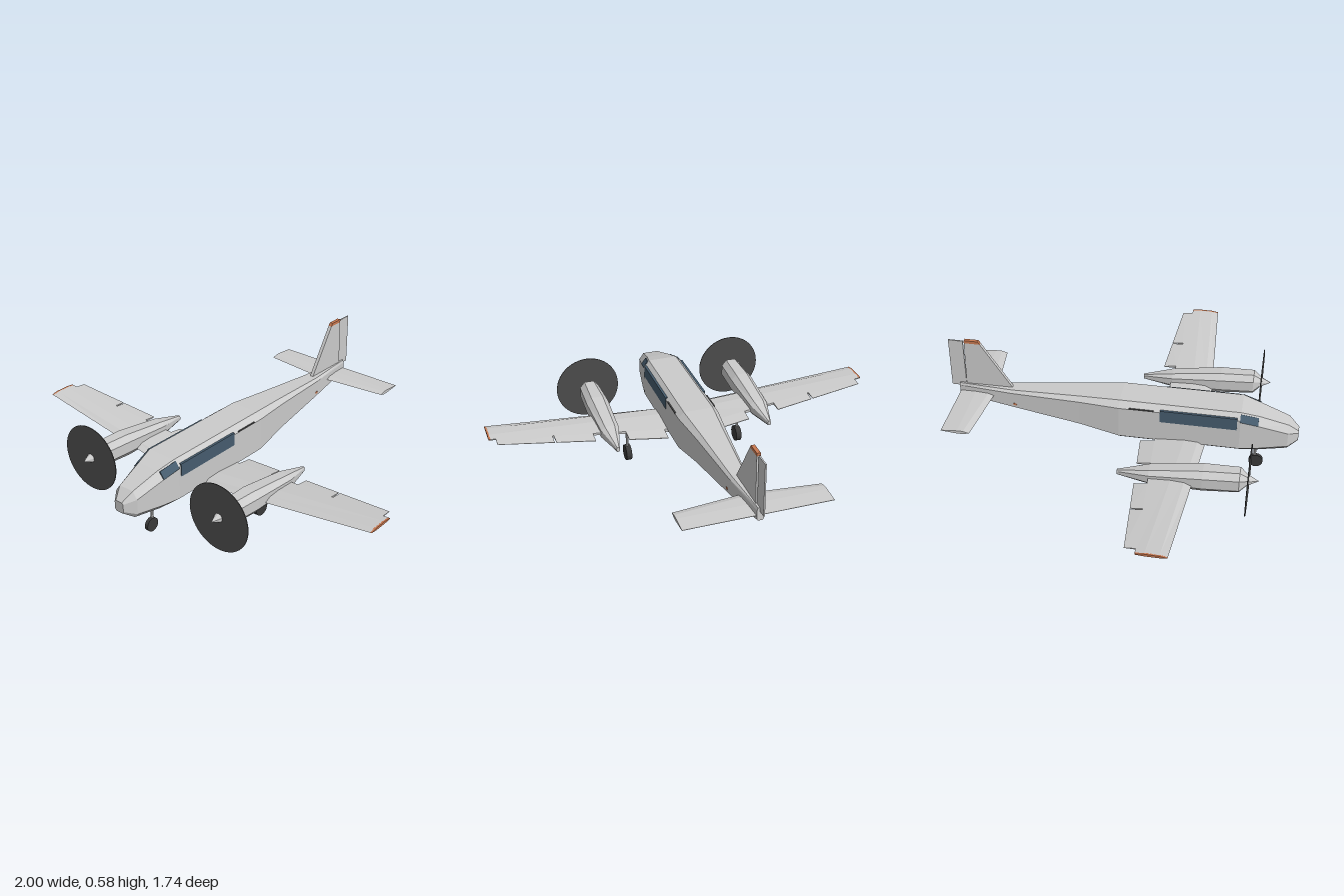
import * as THREE from 'three';

const mat = (color) => new THREE.MeshStandardMaterial({ color, flatShading: true, side: THREE.DoubleSide });
const lerp = THREE.MathUtils.lerp;

// Skin a row of equal-length rings, with flat end caps. flip = mirror image in x.
function loft(rings, flip = false) {
  const pos = [];
  const tri = (a, b, c) => {
    for (const p of flip ? [a, c, b] : [a, b, c]) pos.push(flip ? -p[0] : p[0], p[1], p[2]);
  };
  const n = rings[0].length;
  for (let i = 0; i < rings.length - 1; i++) {
    for (let j = 0; j < n; j++) {
      const k = (j + 1) % n, a = rings[i][j], b = rings[i][k], c = rings[i + 1][k], d = rings[i + 1][j];
      tri(a, d, c);
      tri(a, c, b);
    }
  }
  const first = rings[0], last = rings[rings.length - 1];
  for (let j = 1; j < n - 1; j++) {
    tri(first[0], first[j], first[j + 1]);
    tri(last[0], last[j + 1], last[j]);
  }
  const g = new THREE.BufferGeometry();
  g.setAttribute('position', new THREE.Float32BufferAttribute(pos, 3));
  g.computeVertexNormals();
  return g;
}

// Eight-sided body section: bottom, low edge, high edge, top, half widths
function bodyRing(cx, [z, yb, yl, yh, yt, wb, w, wt]) {
  return [[wb, yb], [w, yl], [w, yh], [wt, yt], [-wt, yt], [-w, yh], [-w, yl], [-wb, yb]]
    .map(([x, y]) => [cx + x, y, z]);
}

// Wing lines as functions of span
const wingT = (x) => (x - 0.1) / 0.9;
const leadZ = (x) => lerp(0.425, 0.37, wingT(x));
const hingeZ = (x) => lerp(0.18, 0.23, wingT(x));
const trailZ = (x) => lerp(0.108, 0.181, wingT(x));
const wingY = (x) => lerp(0.172, 0.262, wingT(x));
const wingThick = (x) => lerp(0.018, 0.006, wingT(x));

function wingRing(x) {
  const y = wingY(x), t = wingThick(x), l = leadZ(x), h = hingeZ(x);
  return [[l, y - t * 0.3], [l - 0.035, y + t * 0.8], [l - 0.1, y + t], [h, y + t * 0.4],
    [h, y - t * 0.5], [l - 0.1, y - t], [l - 0.03, y - t]].map(([z, v]) => [x, v, z]);
}
function flapRing(x) {
  const y = wingY(x), t = wingThick(x), h = hingeZ(x), e = trailZ(x);
  return [[h, y + t * 0.4], [e, y - t * 0.2], [e, y - t * 0.4], [h, y - t * 0.5]].map(([z, v]) => [x, v, z]);
}
function tailRing(x) {
  const l = lerp(-0.642, -0.68, x / 0.355), y = 0.286;
  return [[l, y], [l - 0.03, y + 0.008], [-0.74, y + 0.008], [-0.82, y + 0.001],
    [-0.82, y - 0.001], [-0.74, y - 0.008], [l - 0.03, y - 0.008]].map(([z, v]) => [x, v, z]);
}

export function createModel() {
  const model = new THREE.Group();
  const grey = mat(0xcccccc), dark = mat(0x4c4c4c), tyre = mat(0x3a3a3a), glass = mat(0x465c6e), orange = mat(0xc87850);

  const add = (name, geo, material = grey, p = [0, 0, 0], parent = model) => {
    const m = new THREE.Mesh(geo, material);
    m.name = name;
    m.position.set(...p);
    parent.add(m);
    return m;
  };
  const box = (name, size, p, material) => add(name, new THREE.BoxGeometry(...size), material, p);

  // Fuselage, nose to tail
  const stations = [
    [0.87, 0.2, 0.21, 0.247, 0.255, 0.018, 0.026, 0.018],
    [0.82, 0.167, 0.19, 0.265, 0.3, 0.045, 0.065, 0.04],
    [0.68, 0.15, 0.178, 0.308, 0.346, 0.062, 0.09, 0.058],
    [0.59, 0.147, 0.175, 0.34, 0.37, 0.07, 0.104, 0.075],
    [0, 0.147, 0.175, 0.34, 0.37, 0.07, 0.104, 0.075],
    [-0.2, 0.184, 0.204, 0.334, 0.356, 0.056, 0.08, 0.058],
    [-0.55, 0.229, 0.238, 0.318, 0.331, 0.031, 0.045, 0.033],
    [-0.825, 0.262, 0.268, 0.316, 0.329, 0.01, 0.016, 0.012],
  ];
  add('fuselage', loft(stations.map((s) => bodyRing(0, s))));

  // Fin and its cap, extruded across x
  const plate = (name, pts, thick, material) => {
    const shape = new THREE.Shape(pts.map(([z, y]) => new THREE.Vector2(-z, y)));
    const g = new THREE.ExtrudeGeometry(shape, { depth: thick, bevelEnabled: false });
    g.translate(0, 0, -thick / 2).rotateY(Math.PI / 2);
    add(name, g, material);
  };
  plate('fin', [[-0.55, 0.325], [-0.705, 0.565], [-0.785, 0.565], [-0.79, 0.325]], 0.018, grey);
  plate('finCap', [[-0.705, 0.565], [-0.715, 0.58], [-0.785, 0.58], [-0.785, 0.565]], 0.018, orange);
  plate('rudder', [[-0.793, 0.31], [-0.793, 0.572], [-0.867, 0.572], [-0.867, 0.31]], 0.007, grey);

  // Nose gear
  const wheel = (name, r, w, p) =>
    add(name, new THREE.CylinderGeometry(r, r, w, 20).rotateZ(Math.PI / 2), tyre, p);
  const strut = (name, y0, y1, x, z) =>
    add(name, new THREE.CylinderGeometry(0.007, 0.007, y1 - y0, 8), grey, [x, (y0 + y1) / 2, z]);
  wheel('noseWheel', 0.035, 0.018, [0, 0.035, 0.675]);
  strut('noseStrut', 0.035, 0.165, 0, 0.668);

  for (const s of [1, -1]) {
    const side = s > 0 ? 'left' : 'right', flip = s < 0;

    // Wing, flap, aileron and tip
    add(side + 'Wing', loft([0.04, 0.4, 0.992].map(wingRing), flip));
    [['Flap', 0.12, 0.32], ['OuterFlap', 0.487, 0.682], ['Aileron', 0.69, 0.965]].forEach(([n, a, b]) =>
      add(side + n, loft([flapRing(a), flapRing(b)], flip)));
    add(side + 'WingTip', loft([wingRing(0.99), wingRing(1)], flip), orange);

    // Tailplane
    add(side + 'Tailplane', loft([tailRing(0), tailRing(0.355)], flip));

    // Engine nacelle
    const nacelle = [
      [0.655, 0.208, 0.222, 0.242, 0.256, 0.012, 0.024, 0.012],
      [0.62, 0.178, 0.2, 0.255, 0.284, 0.03, 0.05, 0.025],
      [0.45, 0.167, 0.195, 0.25, 0.278, 0.035, 0.057, 0.03],
      [0.2, 0.168, 0.187, 0.226, 0.243, 0.03, 0.047, 0.025],
      [0.045, 0.182, 0.188, 0.2, 0.206, 0.005, 0.008, 0.005],
    ];
    add(side + 'Nacelle', loft(nacelle.map((r) => bodyRing(s * 0.4, r))));

    // Propeller disc and spinner
    add(side + 'PropellerDisc', new THREE.CylinderGeometry(0.167, 0.167, 0.004, 48).rotateX(Math.PI / 2), dark, [s * 0.4, 0.232, 0.66]);
    add(side + 'Spinner', new THREE.ConeGeometry(0.025, 0.05, 10).rotateX(Math.PI / 2), grey, [s * 0.4, 0.232, 0.683]);

    // Main gear
    wheel(side + 'MainWheel', 0.041, 0.028, [s * 0.3, 0.042, 0.25]);
    strut(side + 'MainStrut', 0.042, 0.2, s * 0.3, 0.25);

    // Cabin window, windscreen pane, roof rail and tail light
    box(side + 'CabinWindow', [0.012, 0.065, 0.373], [s * 0.1, 0.318, 0.388], glass);
    const pane = [[0.109, 0.335, 0.588], [0.085, 0.366, 0.588], [0.07, 0.345, 0.675], [0.094, 0.312, 0.675]];
    add(side + 'Windscreen', loft([pane, pane.map(([x, y, z]) => [x - 0.012, y - 0.008, z])], flip), glass);
    box(side + 'RoofRail', [0.006, 0.006, 0.12], [s * 0.103, 0.343, 0.11], dark);
    box(side + 'TailLight', [0.006, 0.01, 0.016], [s * 0.046, 0.256, -0.535], orange);
  }
  return model;
}
